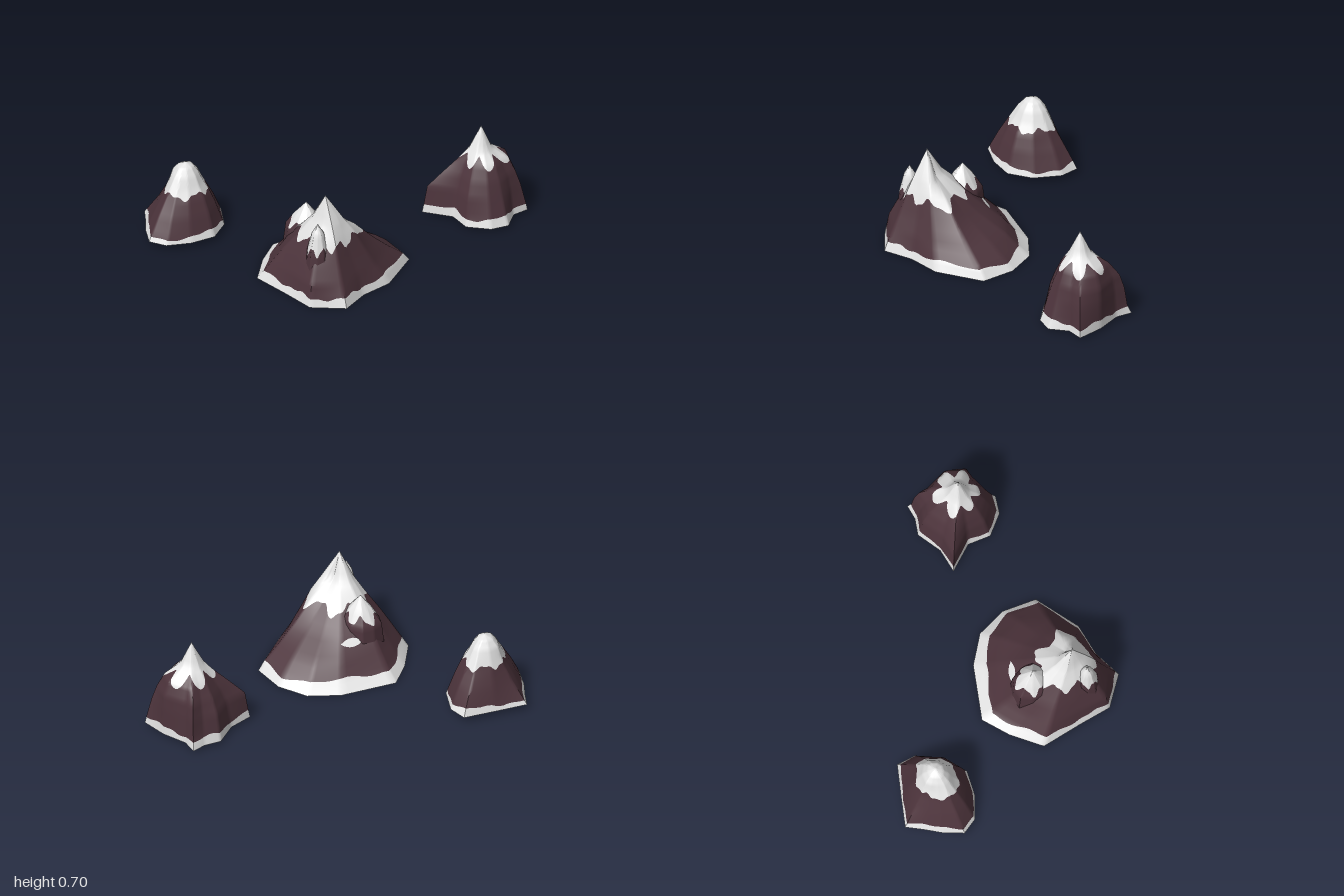
import * as THREE from 'three';
import { toCreasedNormals } from 'three/addons/utils/BufferGeometryUtils.js';

const snow = new THREE.MeshStandardMaterial({ color: 0xe4e4e4 });
snow.name = 'snow';
const rock = new THREE.MeshStandardMaterial({ color: 0x4d343c });
rock.name = 'rock';

const STEPS = 8; // subdivisions of each side of an outline
const ROWS = 4; // subdivisions between two levels

// Non-indexed triangles to a mesh with only sharp creases kept.
function toMesh(name, positions, material) {
  const g = new THREE.BufferGeometry();
  g.setAttribute('position', new THREE.Float32BufferAttribute(positions, 3));
  const mesh = new THREE.Mesh(toCreasedNormals(g, 0.9), material);
  mesh.name = name;
  return mesh;
}

// A mountain: each column is [x, z, spread at each inner level], running
// clockwise from above; spread 1 is the foot outline and 0 the summit.
function mountain({ name, peak, levels, columns, footLine, snowLine, patch }) {
  const group = new THREE.Group();
  group.name = name;
  const [px, pz] = peak;
  const last = levels.length - 1;

  // Subdivided columns around the mountain
  const cols = [];
  columns.forEach((a, i) => {
    const b = columns[(i + 1) % columns.length];
    for (let s = 0; s < STEPS; s++) {
      const [x, z, ...inner] = a.map((v, k) => v + (b[k] - v) * s / STEPS);
      cols.push({ x, z, spread: [1, ...inner, 0], angle: Math.atan2(z - pz, x - px) });
    }
  });

  // Row heights shared by all columns
  const heights = [levels[0]];
  for (let k = 0; k < last; k++) {
    for (let s = 1; s <= ROWS; s++) heights.push(levels[k] + (levels[k + 1] - levels[k]) * s / ROWS);
  }

  const pointAt = (c, y, lift) => {
    let k = 0;
    while (k < last - 1 && y > levels[k + 1]) k++;
    const t = (y - levels[k]) / (levels[k + 1] - levels[k]);
    const f = c.spread[k] + (c.spread[k + 1] - c.spread[k]) * t;
    return [px + (c.x - px) * f, y + lift, pz + (c.z - pz) * f];
  };

  // Surface between two height lines; rows outside collapse onto the lines
  const band = (part, low, high, material, lift = 0) => {
    const out = [];
    const at = (c, y) => pointAt(c, Math.min(Math.max(y, low(c.angle)), high(c.angle)), lift);
    cols.forEach((c, i) => {
      const n = cols[(i + 1) % cols.length];
      for (let j = 0; j < heights.length - 1; j++) {
        const a = at(c, heights[j]), b = at(n, heights[j]);
        const u = at(c, heights[j + 1]), v = at(n, heights[j + 1]);
        if (a[1] < u[1]) out.push(...a, ...u, ...b);
        if (b[1] < v[1] && j < heights.length - 2) out.push(...b, ...u, ...v);
      }
    });
    group.add(toMesh(part, out, material));
  };

  const bottom = () => levels[0], top = () => levels[last];
  if (footLine) {
    band('snowyFoot', bottom, footLine, snow);
    const under = [];
    cols.forEach((c, i) => {
      const n = cols[(i + 1) % cols.length];
      under.push(px, levels[0], pz, c.x, levels[0], c.z, n.x, levels[0], n.z);
    });
    group.add(toMesh('underside', under, snow));
  }
  band('rockSlope', footLine || bottom, snowLine, rock);
  band('snowCap', snowLine, top, snow);

  // A thin lens of snow lying on the slope
  if (patch) {
    const half = (a) => patch.height * Math.max(0, 1 - ((a - patch.angle) / patch.width) ** 2);
    band('snowPatch', (a) => patch.y - half(a), (a) => patch.y + half(a), snow, 0.004);
  }
  return group;
}

// A lesser summit growing out of a larger slope; radii shrink with the levels.
function sidePeak(name, peak, levels, radii, snowLine, stretch = 1) {
  const columns = [];
  for (let i = 0; i < 10; i++) {
    const a = i / 10 * Math.PI * 2 + 0.3;
    const r = radii[0] * (i % 2 ? 0.96 : 1.03);
    columns.push([peak[0] + Math.cos(a) * r, peak[1] + Math.sin(a) * r * stretch,
      ...radii.slice(1).map((v) => v / radii[0])]);
  }
  return mountain({ name, peak, levels, columns, snowLine });
}

export function createModel() {
  const model = new THREE.Group();
  model.name = 'snowyMountains';

  // Large mountain with a long back slope
  const large = mountain({
    name: 'largeMountain',
    peak: [0.5, 0.67],
    levels: [0, 0.06, 0.15, 0.27, 0.42, 0.52, 0.705],
    columns: [
      [-0.11, 0.46, 0.87, 0.74, 0.59, 0.33, 0.18],
      [0.10, 0.13, 0.88, 0.76, 0.55, 0.3, 0.14],
      [0.28, -0.01, 0.9, 0.76, 0.5, 0.26, 0.11],
      [0.50, -0.03, 0.92, 0.76, 0.5, 0.26, 0.1],
      [0.72, 0.05, 0.93, 0.76, 0.56, 0.34, 0.14],
      [0.81, 0.38, 0.92, 0.78, 0.63, 0.45, 0.29],
      [0.77, 0.60, 0.93, 0.84, 0.68, 0.5, 0.36],
      [0.79, 0.81, 0.93, 0.8, 0.64, 0.46, 0.31],
      [0.59, 0.95, 0.96, 0.9, 0.7, 0.42, 0.2],
      [0.36, 0.91, 0.93, 0.85, 0.68, 0.42, 0.22],
      [0.08, 0.87, 0.91, 0.78, 0.6, 0.35, 0.2],
      [-0.04, 0.66, 0.88, 0.75, 0.6, 0.36, 0.2],
    ],
    footLine: (a) => 0.06 + 0.01 * Math.sin(5 * a) + 0.006 * Math.sin(13 * a),
    snowLine: (a) => 0.38 + 0.03 * Math.sin(7 * a) + 0.01 * Math.sin(17 * a),
    patch: { angle: -2.4, width: 0.19, y: 0.23, height: 0.022 },
  });
  const ragged = (a) => 0.36 + 0.03 * Math.sin(5 * a) + 0.008 * Math.sin(11 * a);
  large.add(
    sidePeak('frontPeak', [0.53, 0.79], [0.1, 0.2, 0.35, 0.48, 0.55], [0.095, 0.088, 0.072, 0.04], ragged),
    sidePeak('leftPeak', [0.25, 0.56], [0.1, 0.2, 0.32, 0.41, 0.51], [0.17, 0.16, 0.145, 0.085], ragged, 0.85),
  );
  model.add(large);

  // Steep mountain with a star-shaped cap
  model.add(mountain({
    name: 'steepMountain',
    peak: [0.71, -0.73],
    levels: [0.02, 0.08, 0.22, 0.32, 0.42, 0.5, 0.665],
    columns: [
      [0.42, -0.80, 0.96, 0.87, 0.72, 0.5, 0.27],
      [0.48, -0.90, 0.95, 0.85, 0.74, 0.54, 0.26],
      [0.50, -1.00, 0.92, 0.86, 0.77, 0.55, 0.22],
      [0.60, -0.95, 0.98, 0.95, 0.9, 0.72, 0.3],
      [0.78, -0.95, 0.99, 0.99, 0.97, 0.82, 0.32],
      [0.96, -0.91, 0.96, 0.85, 0.74, 0.57, 0.23],
      [0.93, -0.80, 0.96, 0.9, 0.82, 0.62, 0.3],
      [0.99, -0.67, 0.91, 0.76, 0.66, 0.52, 0.25],
      [0.93, -0.56, 0.93, 0.78, 0.66, 0.5, 0.26],
      [0.78, -0.48, 0.93, 0.82, 0.68, 0.5, 0.3],
      [0.63, -0.53, 0.96, 0.88, 0.75, 0.56, 0.36],
      [0.43, -0.45, 0.97, 0.91, 0.66, 0.4, 0.2],
      [0.46, -0.62, 0.97, 0.87, 0.7, 0.47, 0.28],
    ],
    footLine: (a) => 0.075 + 0.012 * Math.sin(4 * a) + 0.005 * Math.sin(11 * a),
    snowLine: (a) => 0.475 - 0.085 * Math.abs(Math.sin(3 * a)) ** 1.5,
  }));

  // Small mountain with a rounded top
  model.add(mountain({
    name: 'roundedMountain',
    peak: [-0.69, 0.66],
    levels: [0.04, 0.09, 0.2, 0.3, 0.37, 0.44, 0.49, 0.515],
    columns: [
      [-1.00, 0.71, 0.89, 0.65, 0.47, 0.38, 0.31, 0.18],
      [-0.88, 0.53, 0.93, 0.78, 0.62, 0.5, 0.38, 0.22],
      [-0.75, 0.34, 0.92, 0.72, 0.53, 0.42, 0.3, 0.18],
      [-0.62, 0.37, 0.93, 0.76, 0.57, 0.44, 0.32, 0.18],
      [-0.48, 0.51, 0.93, 0.78, 0.62, 0.46, 0.33, 0.2],
      [-0.43, 0.68, 0.93, 0.8, 0.64, 0.47, 0.34, 0.2],
      [-0.50, 0.84, 0.93, 0.79, 0.63, 0.47, 0.34, 0.2],
      [-0.61, 0.97, 0.93, 0.76, 0.58, 0.45, 0.32, 0.18],
      [-0.73, 1.00, 0.93, 0.75, 0.56, 0.43, 0.3, 0.18],
      [-0.84, 0.90, 0.93, 0.74, 0.55, 0.43, 0.32, 0.19],
      [-0.92, 0.80, 0.92, 0.72, 0.53, 0.42, 0.34, 0.2],
    ],
    footLine: (a) => 0.08 + 0.012 * Math.sin(3 * a + 1) + 0.005 * Math.sin(10 * a),
    snowLine: (a) => 0.325 + 0.016 * Math.sin(5 * a) + 0.008 * Math.sin(12 * a),
  }));

  return model;
}
